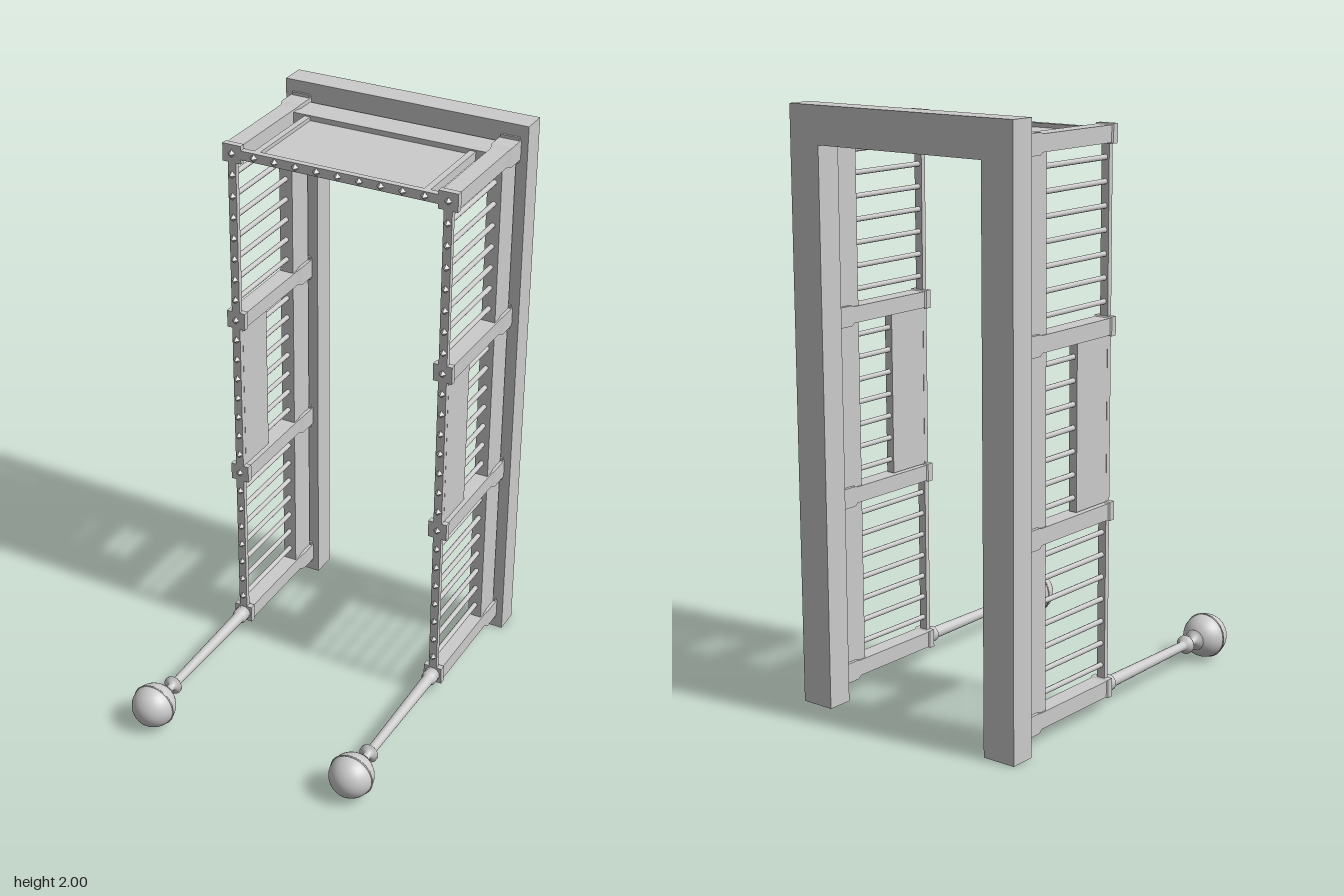
import * as THREE from 'three';

const SIDE_X = 0.387;                       // centre of each side ladder
const STEP = 0.0763;                        // spacing of rungs and studs
const LEVELS = [0.085, 0.695, 1.305, 1.915]; // heights of the main bars

export function createModel() {
  const model = new THREE.Group();
  const smooth = new THREE.MeshStandardMaterial({ color: 0xcccccc });
  const flat = new THREE.MeshStandardMaterial({ color: 0xcccccc, flatShading: true });

  const add = (parent, name, geometry, x, y, z, material = smooth) => {
    const mesh = new THREE.Mesh(geometry, material);
    mesh.name = name;
    mesh.position.set(x, y, z);
    parent.add(mesh);
    return mesh;
  };
  const box = (parent, name, w, h, d, x, y, z) =>
    add(parent, name, new THREE.BoxGeometry(w, h, d), x, y, z);

  // Turned profile of [radius, z] pairs, laid along +z
  const turned = (pairs, sides) => {
    const points = pairs.map(([r, z]) => new THREE.Vector2(r, z));
    return new THREE.LatheGeometry(points, sides).rotateX(Math.PI / 2);
  };

  // Doorway frame: one extruded arch
  const arch = new THREE.Shape([
    [-0.448, 0], [-0.328, 0], [-0.328, 1.875], [0.328, 1.875],
    [0.328, 0], [0.448, 0], [0.448, 2], [-0.448, 2],
  ].map(([x, y]) => new THREE.Vector2(x, y)));
  const archGeometry = new THREE.ExtrudeGeometry(arch, { depth: 0.09, bevelEnabled: false });
  add(model, 'doorFrame', archGeometry, 0, 0, -0.628);

  // Square bar that thickens toward the wall, with a collar at the front
  const k = Math.SQRT2;
  const barGeometry = turned([
    [0, -0.54], [0.037 * k, -0.54], [0.037 * k, -0.465], [0.03 * k, -0.445],
    [0.03 * k, -0.095], [0.034 * k, -0.09], [0.034 * k, -0.068], [0, -0.068],
  ], 4).rotateZ(Math.PI / 4);

  // Floor leg: tapered rod with collars, neck and flange
  const legGeometry = turned([
    [0, -0.068], [0.028, -0.068], [0.027, -0.035], [0.021, -0.03], [0.016, 0.4],
    [0.02, 0.405], [0.033, 0.417], [0.033, 0.427], [0.014, 0.432], [0.014, 0.467],
    [0.035, 0.472], [0.038, 0.485], [0, 0.49],
  ], 20);
  const ballGeometry = new THREE.SphereGeometry(0.077, 32, 20);
  const ringGeometry = new THREE.TorusGeometry(0.077, 0.003, 6, 40);
  const rungGeometry = new THREE.CylinderGeometry(0.009, 0.009, 0.36, 10).rotateX(Math.PI / 2);
  const studGeometry = new THREE.ConeGeometry(0.014, 0.017, 4).rotateX(Math.PI / 2);

  for (const s of [-1, 1]) {
    const side = new THREE.Group();
    side.name = s > 0 ? 'leftSide' : 'rightSide';
    side.position.x = s * SIDE_X;
    model.add(side);

    // Main bars with small wall plates
    for (const y of LEVELS) {
      const bar = add(side, 'mainBar', barGeometry, 0, y, 0, flat);
      bar.scale.y = 0.92;
      box(side, 'wallPlate', 0.066, 0.09, 0.008, 0, y, -0.532);
    }

    // Front post and the jamb panel against the frame
    box(side, 'frontPost', 0.03, 1.83, 0.018, 0, 1, -0.077);
    box(side, 'jambPanel', 0.05, 1.83, 0.11, 0, 1, -0.475);

    // Rungs and pointed studs between the bars
    for (let i = 1; i < 24; i++) {
      if (i % 8 === 0) continue;
      const y = LEVELS[0] + i * STEP;
      add(side, 'rung', rungGeometry, 0, y, -0.255);
      add(side, 'stud', studGeometry, 0, y, -0.06, flat);
    }
    for (const y of LEVELS.slice(1)) add(side, 'barStud', studGeometry, 0, y, -0.06, flat);

    // Solid panel in the middle bay
    box(side, 'middlePanel', 0.03, 0.55, 0.16, 0, 1, -0.167);

    // Leg reaching forward to a banded ball
    add(side, 'floorLeg', legGeometry, 0, LEVELS[0], 0);
    add(side, 'ballFoot', ballGeometry, 0, LEVELS[0], 0.547);
    add(side, 'ballBand', ringGeometry, 0, LEVELS[0], 0.547);

    // Rim along the canopy panel
    box(model, 'canopyRim', 0.022, 0.03, 0.345, s * 0.304, LEVELS[3], -0.255);
  }

  // Canopy: front bar with studs, thin panel and header plate
  box(model, 'canopyFrontBar', 0.8, 0.032, 0.022, 0, LEVELS[3], -0.079);
  for (let i = -4; i <= 4; i++) {
    add(model, 'canopyStud', studGeometry, i * STEP, LEVELS[3], -0.06, flat);
  }
  box(model, 'canopyPanel', 0.6, 0.014, 0.345, 0, LEVELS[3] - 0.005, -0.255);
  box(model, 'headerPlate', 0.72, 0.04, 0.105, 0, LEVELS[3], -0.477);

  return model;
}
